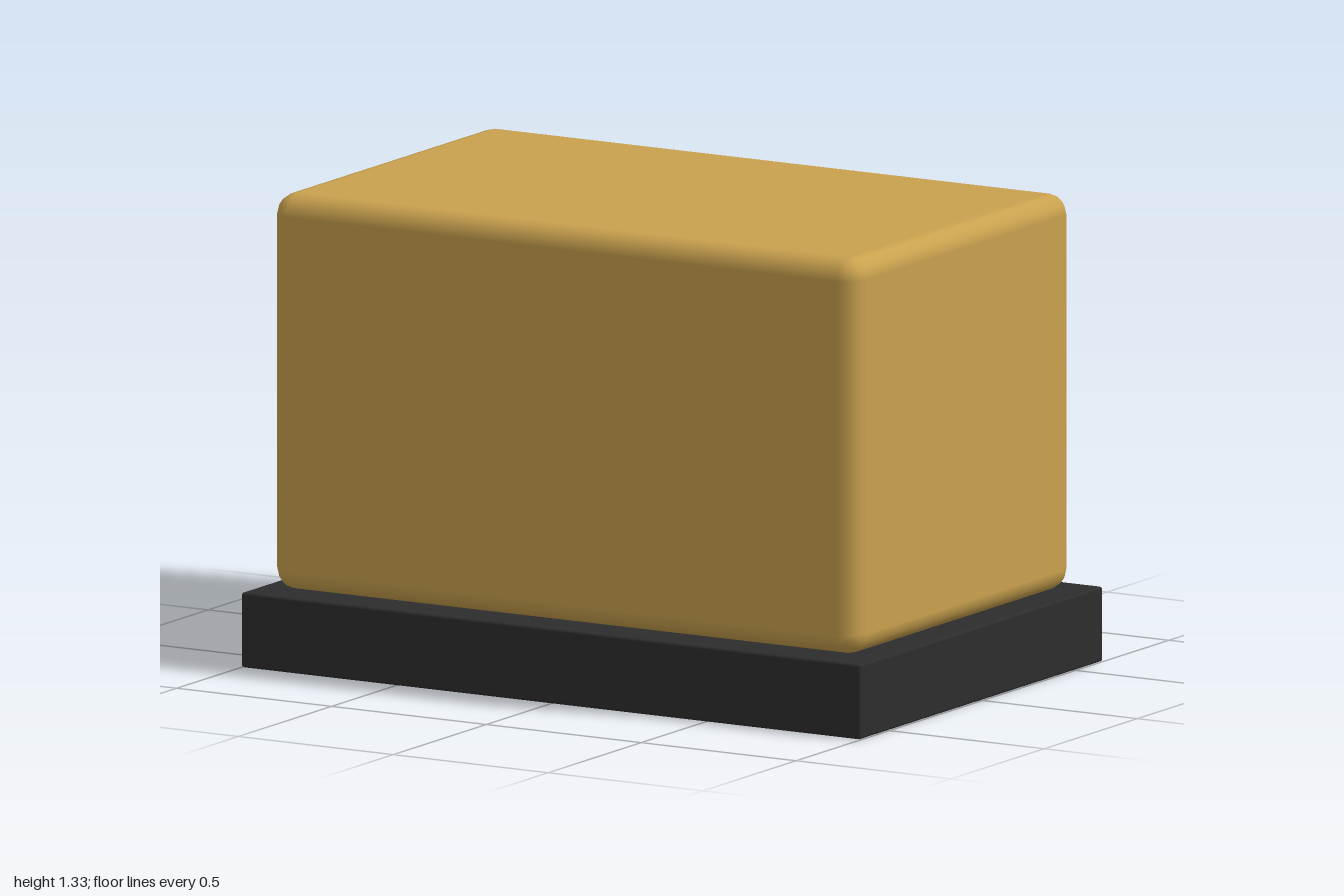
import * as THREE from 'three';
import { RoundedBoxGeometry } from 'three/addons/geometries/RoundedBoxGeometry.js';

function material(name, color) {
  const m = new THREE.MeshStandardMaterial({ color });
  m.name = name;
  return m;
}

export function createModel() {
  const model = new THREE.Group();
  model.name = 'generator';

  const ochre = material('ochre paint', 0xc9a14e);
  const charcoal = material('charcoal', 0x2d2d2d);
  const black = material('black', 0x151515);

  const add = (name, geometry, mat, x, y, z) => {
    const mesh = new THREE.Mesh(geometry, mat);
    mesh.name = name;
    mesh.position.set(x, y, z);
    model.add(mesh);
  };

  // Plinth with barely softened edges
  add('base', new RoundedBoxGeometry(2, 0.212, 1.304, 1, 0.008), charcoal, 0, 0.106, 0.004);

  // Rounded housing
  add('housing', new RoundedBoxGeometry(1.894, 1.118, 1.174, 2, 0.06), ochre, 0, 0.772, 0.005);

  // Control panel on the back
  add('controlPanel', new THREE.BoxGeometry(0.6, 0.346, 0.009), charcoal, 0.5, 0.772, -0.5835);

  // Row of small indicators standing off the panel
  const indicator = new THREE.CylinderGeometry(0.0085, 0.0085, 0.017, 12);
  [0.7, 0.75, 0.8].forEach((x, i) => add(`indicator${i + 1}`, indicator, black, x, 0.703, -0.647));

  return model;
}
